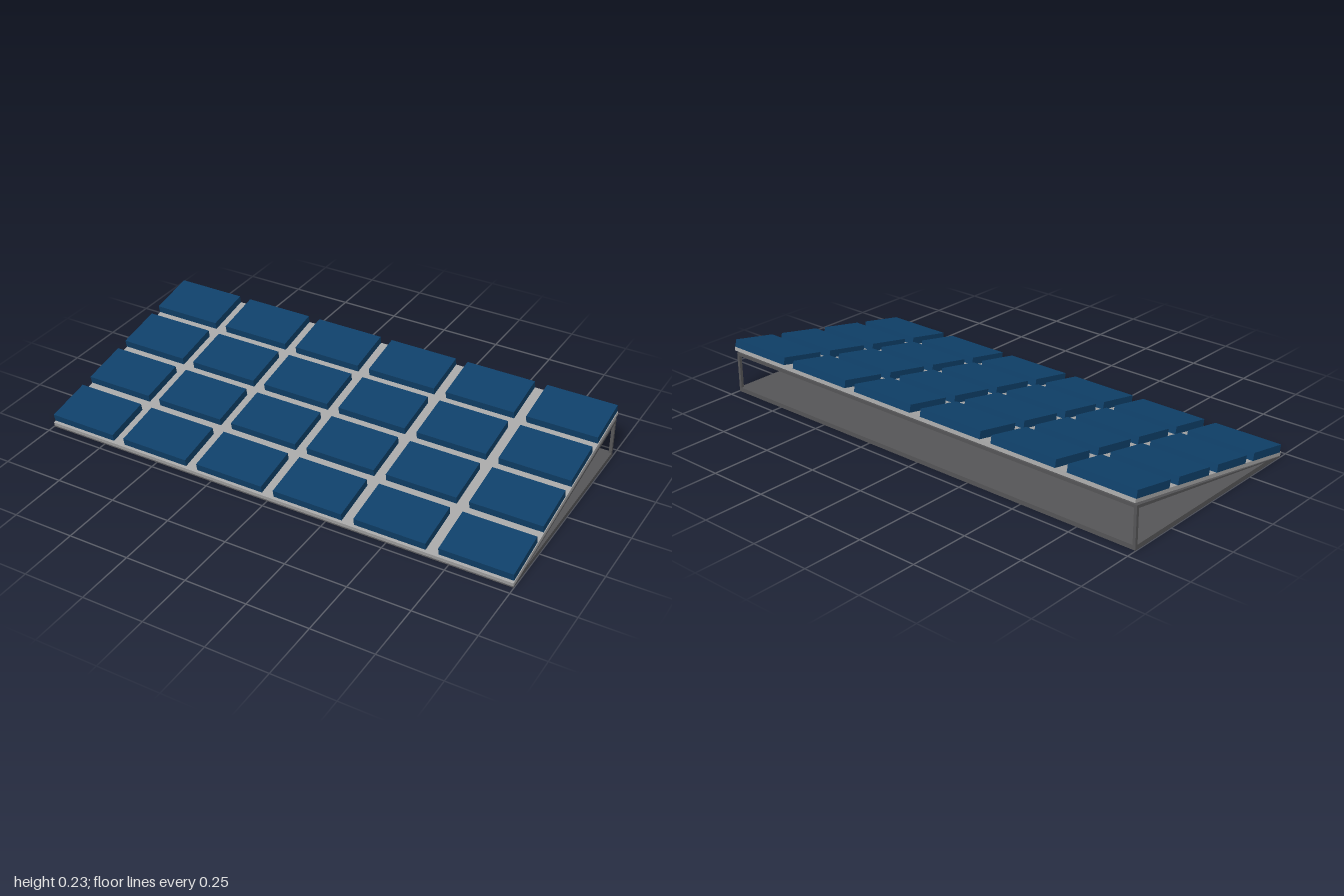
import * as THREE from 'three';

export function createModel() {
  const group = new THREE.Group();
  const frameMat = new THREE.MeshStandardMaterial({ color: 0x555557 });
  const plateMat = new THREE.MeshStandardMaterial({ color: 0xa6a6a6 });
  const panelMat = new THREE.MeshStandardMaterial({ color: 0x0f4069 });

  const add = (parent, name, geometry, material, x = 0, y = 0, z = 0) => {
    const mesh = new THREE.Mesh(geometry, material);
    mesh.name = name;
    mesh.position.set(x, y, z);
    parent.add(mesh);
    return mesh;
  };

  // Wedge stand: floor and sloped sheet, open at the ends and the back.
  // The profile runs from front (-) to back (+).
  const wedge = new THREE.Shape([
    [-0.467, 0], [0.455, 0], [0.455, 0.018], [-0.36, 0.018],
    [0.455, 0.159], [0.455, 0.171], [-0.467, 0.002],
  ].map(([u, v]) => new THREE.Vector2(u, v)));
  const wedgeGeo = new THREE.ExtrudeGeometry(wedge, { depth: 1.996, bevelEnabled: false });
  wedgeGeo.translate(0, 0, -0.998).rotateY(Math.PI / 2);
  add(group, 'wedgeStand', wedgeGeo, frameMat);

  // Upright posts at the back corners
  const postGeo = new THREE.BoxGeometry(0.012, 0.142, 0.012);
  for (const side of [-1, 1]) {
    add(group, side > 0 ? 'leftPost' : 'rightPost', postGeo, frameMat, side * 0.992, 0.088, -0.449);
  }

  // Tilted mounting plate carrying the panels
  const array = new THREE.Group();
  array.name = 'tiltedArray';
  array.position.set(0, 0.102, 0.001);
  array.rotation.x = THREE.MathUtils.degToRad(10.9);
  group.add(array);
  add(array, 'mountingPlate', new THREE.BoxGeometry(1.996, 0.0155, 0.949), plateMat);

  // Four rows of six panels
  const panelGeo = new THREE.BoxGeometry(0.29, 0.031, 0.195);
  for (let row = 0; row < 4; row++) {
    for (let col = 0; col < 6; col++) {
      add(array, `panel_${row + 1}_${col + 1}`, panelGeo, panelMat,
        -0.855 + 0.341 * col, 0.0235, 0.365 - 0.2475 * row);
    }
  }
  return group;
}
